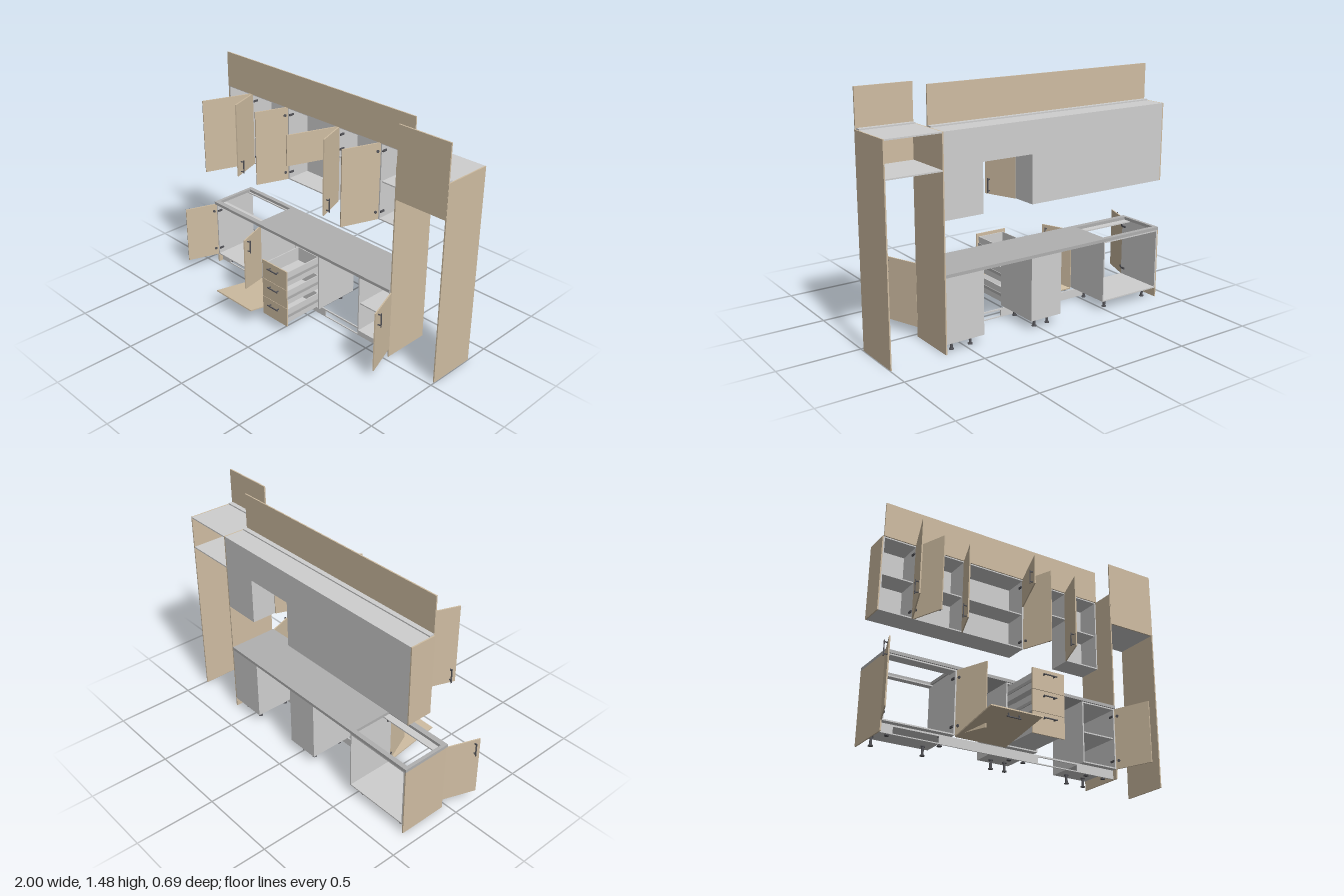
import * as THREE from 'three';

const mat = (name, color, side = THREE.FrontSide) => {
  const m = new THREE.MeshStandardMaterial({ color, side });
  m.name = name;
  return m;
};

export function createModel() {
  const wood = mat('beige wood', 0xcfbda2);
  const white = mat('carcass grey', 0xcfcfcf);
  const stone = mat('worktop grey', 0xb0b0b0);
  const metal = mat('dark metal', 0x55555a);
  const T = 0.008; // board thickness
  const BACK = -0.345, BASE = -0.03, UPPER = -0.183; // back and front planes
  const BY0 = 0.06, BY1 = 0.446, UY0 = 0.77, UY1 = 1.253;

  const root = new THREE.Group();
  root.name = 'kitchen';

  const box = (parent, name, m, x0, x1, y0, y1, z0, z1) => {
    const b = new THREE.Mesh(new THREE.BoxGeometry(x1 - x0, y1 - y0, z1 - z0), m);
    b.position.set((x0 + x1) / 2, (y0 + y1) / 2, (z0 + z1) / 2);
    b.name = name;
    parent.add(b);
    return b;
  };
  const group = (parent, name) => {
    const g = new THREE.Group();
    g.name = name;
    parent.add(g);
    return g;
  };

  // Bar handle on two posts, standing out towards +z
  const handle = (parent, x, y, z, vertical) => {
    const g = group(parent, 'handle');
    box(g, 'handleBar', metal, -0.045, 0.045, -0.003, 0.003, 0.017, 0.023);
    for (const s of [-1, 1]) box(g, 'handlePost', metal, s * 0.034 - 0.003, s * 0.034 + 0.003, -0.003, 0.003, 0, 0.018);
    g.position.set(x, y, z);
    if (vertical) g.rotation.z = Math.PI / 2;
  };

  // Hinged door swung open by 110 degrees; dir is the side the closed door reaches to
  const door = (hx, w, dir, y0, y1, z, handleY) => {
    const g = group(root, 'door');
    const a = Math.min(0, dir * w), b = Math.max(0, dir * w);
    box(g, 'doorPanel', wood, a, b, y0, y1, 0, T);
    handle(g, dir * (w - 0.035), handleY, T, true);
    for (const y of [y0 + 0.05, y1 - 0.05]) {
      const cup = new THREE.Mesh(new THREE.CylinderGeometry(0.009, 0.009, 0.006, 12), metal);
      cup.rotation.x = Math.PI / 2;
      cup.position.set(dir * 0.02, y, -0.002);
      cup.name = 'hingeCup';
      g.add(cup);
      const c = hx + dir * (T + 0.004);
      box(root, 'hingeArm', metal, c - 0.004, c + 0.004, y - 0.006, y + 0.006, z - 0.035, z - 0.003);
    }
    g.position.set(hx, 0, z);
    g.rotation.y = -dir * THREE.MathUtils.degToRad(110);
  };

  // Open-fronted cabinet box
  const carcass = (name, x0, x1, y0, y1, zf, { back = true, top = true, shelf } = {}) => {
    const g = group(root, name);
    box(g, 'leftSide', white, x1 - T, x1, y0, y1, BACK, zf);
    box(g, 'rightSide', white, x0, x0 + T, y0, y1, BACK, zf);
    box(g, 'bottom', white, x0 + T, x1 - T, y0, y0 + T, BACK, zf);
    if (top) box(g, 'top', white, x0 + T, x1 - T, y1 - T, y1, BACK, zf);
    if (back) box(g, 'back', white, x0 + T, x1 - T, y0 + T, y1 - T, BACK, BACK + 0.004);
    if (shelf) box(g, 'shelf', white, x0 + T, x1 - T, shelf - T / 2, shelf + T / 2, BACK + 0.004, zf - 0.01);
    return g;
  };

  // Base cabinets
  const sink = carcass('sinkCabinet', -0.909, -0.473, BY0, BY1, BASE, { back: false, top: false });
  box(sink, 'frontStretcher', white, -0.901, -0.481, BY1 - T, BY1, -0.1, BASE);
  box(sink, 'backStretcher', white, -0.901, -0.481, BY1 - T, BY1, BACK, -0.305);
  carcass('drawerCabinet', -0.145, 0.07, BY0, BY1, BASE);
  carcass('endCabinet', 0.40, 0.645, BY0, BY1, BASE, { shelf: 0.255 });
  door(-0.909, 0.216, 1, BY0, BY1, BASE, 0.39);
  door(-0.473, 0.216, -1, BY0, BY1, BASE, 0.39);
  door(0.647, 0.243, -1, BY0, BY1, BASE, 0.39);

  // Pulled-out drawers
  for (let i = 0; i < 3; i++) {
    const g = group(root, 'drawer');
    const y = BY0 + i * 0.1293, b = y + 0.012, t = y + 0.108;
    box(g, 'drawerFront', wood, -0.145, 0.07, y, y + 0.127, 0.235, 0.235 + T);
    for (const x of [-0.129, 0.048]) {
      box(g, 'drawerSide', white, x, x + 0.006, b, t, -0.045, 0.235);
      box(g, 'runner', stone, x < 0 ? x - 0.005 : x + 0.006, x < 0 ? x : x + 0.011, y + 0.05, y + 0.068, -0.045, 0.235);
    }
    box(g, 'drawerBottom', white, -0.123, 0.048, b, b + 0.005, -0.045, 0.235);
    box(g, 'drawerBack', white, -0.123, 0.048, b, t, -0.045, -0.039);
    box(g, 'drawerInnerFront', white, -0.123, 0.048, b, t, 0.229, 0.235);
    handle(g, -0.0375, y + 0.093, 0.235 + T, false);
  }

  // Dishwasher front, folded down
  const flap = group(root, 'dishwasherDoor');
  box(flap, 'flapPanel', wood, -0.471, -0.147, 0, 0.38, 0, T);
  handle(flap, -0.309, 0.345, T, false);
  flap.position.set(0, 0.057, BASE);
  flap.rotation.x = THREE.MathUtils.degToRad(80);

  // Flat board with rectangular cutouts [x0, x1, y0, y1]
  const cutBoard = (name, m, x0, x1, y0, y1, depth, holes) => {
    const rect = (P, [a, b, c, d]) => {
      const p = new P();
      p.moveTo(a, c); p.lineTo(b, c); p.lineTo(b, d); p.lineTo(a, d); p.closePath();
      return p;
    };
    const s = rect(THREE.Shape, [x0, x1, y0, y1]);
    s.holes = holes.map(h => rect(THREE.Path, h));
    const mesh = new THREE.Mesh(new THREE.ExtrudeGeometry(s, { depth, bevelEnabled: false }), m);
    mesh.name = name;
    root.add(mesh);
    return mesh;
  };

  // Worktop with sink opening (shape y runs along -z)
  const top = cutBoard('worktop', stone, -0.917, 0.645, 0.02, 0.345, 0.019, [[-0.895, -0.49, 0.055, 0.315]]);
  top.rotation.x = -Math.PI / 2;
  top.position.y = BY1;

  // Plinth with two vents
  const plinth = cutBoard('plinth', white, -0.909, 0.645, 0.004, 0.058, T,
    [[-0.828, -0.552, 0.01, 0.048], [0.097, 0.375, 0.01, 0.048]]);
  plinth.position.z = -0.07;

  // Adjustable feet
  for (const [x0, x1] of [[-0.909, -0.473], [-0.145, 0.07], [0.40, 0.645]])
    for (const x of [x0 + 0.06, x1 - 0.06])
      for (const z of [-0.29, -0.09]) {
        const g = group(root, 'foot');
        for (const [r, h, y] of [[0.008, 0.058, 0.031], [0.014, 0.006, 0.003], [0.013, 0.008, 0.056]]) {
          const c = new THREE.Mesh(new THREE.CylinderGeometry(r, r, h, 14), metal);
          c.position.y = y;
          c.name = 'footPart';
          g.add(c);
        }
        g.position.set(x, 0, z);
      }

  // Wall cabinets
  for (const [x0, x1, y0, shelf] of [
    [-0.909, -0.69, UY0, 1.01], [-0.69, -0.36, UY0, 1.01], [-0.36, 0.07, UY0, 1.01],
    [0.07, 0.40, 1.06, 0], [0.40, 0.645, UY0, 1.01],
  ]) carcass('wallCabinet', x0, x1, y0, UY1, UPPER, { shelf });
  door(-0.69, 0.218, -1, UY0, UY1, UPPER, 0.825);
  door(-0.69, 0.328, 1, UY0, UY1, UPPER, 0.825);
  door(-0.36, 0.214, 1, UY0, UY1, UPPER, 0.825);
  door(0.07, 0.214, -1, UY0, UY1, UPPER, 0.825);
  door(0.07, 0.328, 1, 1.06, UY1, UPPER, 1.12);
  door(0.40, 0.243, 1, UY0, UY1, UPPER, 0.825);

  // Wooden end panels
  box(root, 'baseEndPanel', wood, -0.917, -0.909, 0, BY1, BACK, BASE);
  box(root, 'wallEndPanel', wood, -0.917, -0.909, UY0, UY1, BACK, UPPER);
  box(root, 'tallPanelInner', wood, 0.645, 0.653, 0, UY1, BACK, BASE);
  box(root, 'tallPanelOuter', wood, 0.99, 0.998, 0, UY1, BACK, BASE);

  // Fridge housing boards
  box(root, 'housingTop', white, 0.653, 0.99, UY1 - T, UY1, BACK, BASE - T);
  box(root, 'housingShelf', white, 0.653, 0.99, 1.04, 1.04 + T, BACK, BASE - T);

  // Fascias and the rails that hold them
  box(root, 'wallFascia', wood, -0.909, 0.645, UY1, 1.48, UPPER, UPPER + T);
  box(root, 'wallFasciaRail', white, -0.909, 0.645, UY1, UY1 + T, UPPER - 0.03, UPPER);
  box(root, 'housingFascia', wood, 0.649, 0.996, 1.04, 1.48, BASE - T, BASE + 0.001);
  box(root, 'housingFasciaRail', white, 0.653, 0.99, UY1, UY1 + T, BASE - T - 0.03, BASE - T);

  return root;
}
